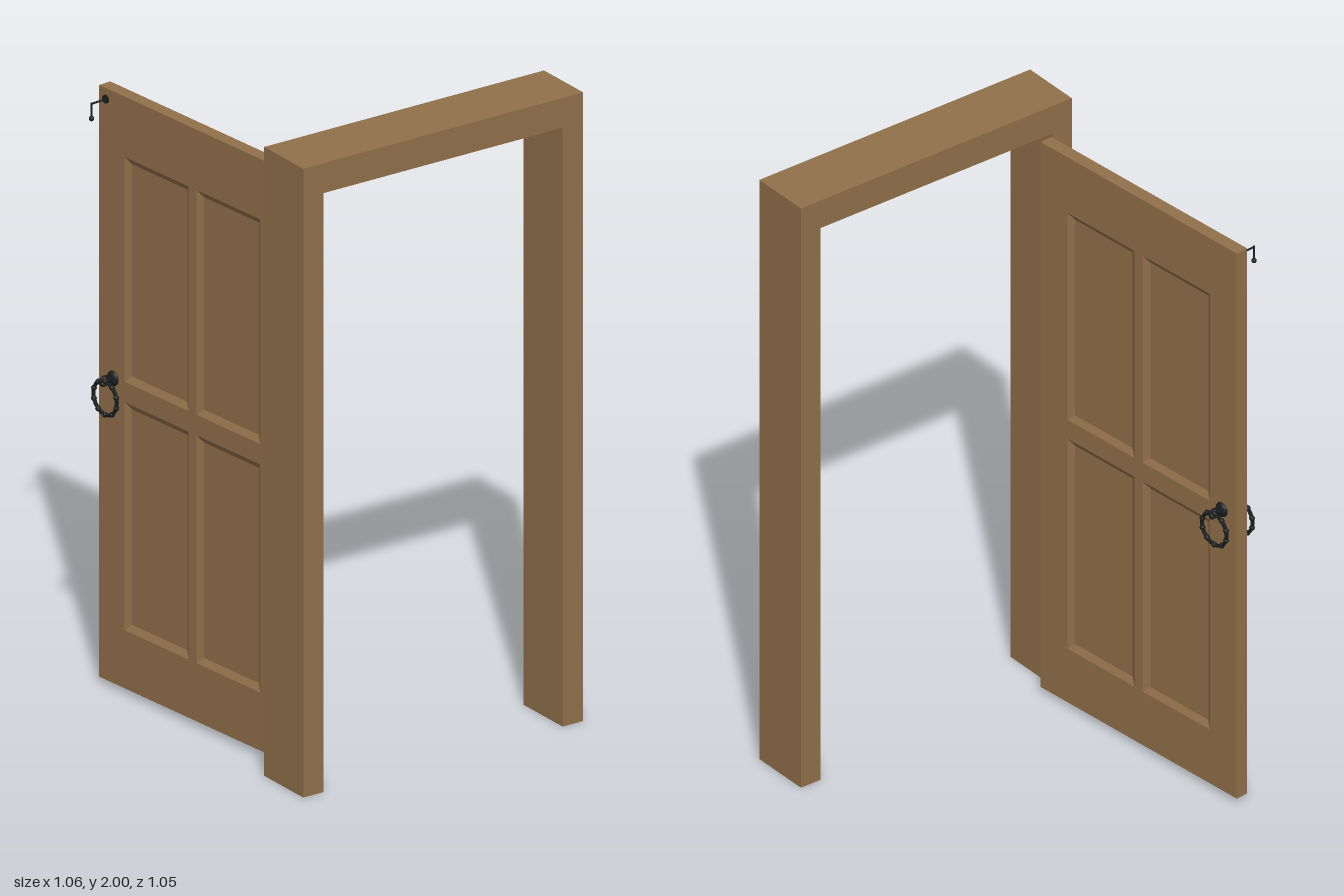
import * as THREE from 'three';

const wood = new THREE.MeshStandardMaterial({ color: 0x91704a });
wood.name = 'wood';
const iron = new THREE.MeshStandardMaterial({ color: 0x1b1d1f });
iron.name = 'blackIron';

function add(parent, name, geometry, material, x = 0, y = 0, z = 0) {
  const mesh = new THREE.Mesh(geometry, material);
  mesh.name = name;
  mesh.position.set(x, y, z);
  parent.add(mesh);
  return mesh;
}

function rectPath(path, x0, y0, x1, y1) {
  path.moveTo(x0, y0);
  path.lineTo(x1, y0);
  path.lineTo(x1, y1);
  path.lineTo(x0, y1);
  path.closePath();
  return path;
}

// Four sloped faces running from a panel opening down to its recessed field
function bevelGeometry([x0, y0, x1, y1], slope, depth) {
  const outer = [[x0, y0], [x1, y0], [x1, y1], [x0, y1]];
  const inner = [
    [x0 + slope, y0 + slope], [x1 - slope, y0 + slope],
    [x1 - slope, y1 - slope], [x0 + slope, y1 - slope],
  ];
  const pos = [];
  for (let i = 0; i < 4; i++) {
    const j = (i + 1) % 4;
    const a = [...outer[i], 0], b = [...outer[j], 0];
    const c = [...inner[j], -depth], d = [...inner[i], -depth];
    pos.push(...a, ...b, ...c, ...a, ...c, ...d);
  }
  const g = new THREE.BufferGeometry();
  g.setAttribute('position', new THREE.Float32BufferAttribute(pos, 3));
  g.computeVertexNormals();
  return g;
}

const W = 0.842, BOTTOM = 0.02, TOP = 1.902, T = 0.042, DEPTH = 0.012;

function createDoor() {
  const door = new THREE.Group();
  door.name = 'door';

  // Stiles and rails around four openings
  const panels = [];
  for (const [x0, x1] of [[0.115, 0.402], [0.438, 0.727]])
    for (const [y0, y1] of [[0.205, 0.93], [0.995, 1.71]]) panels.push([x0, y0, x1, y1]);
  const shape = rectPath(new THREE.Shape(), 0, BOTTOM, W, TOP);
  for (const p of panels) shape.holes.push(rectPath(new THREE.Path(), ...p));
  const slab = new THREE.ExtrudeGeometry(shape, { depth: T, bevelEnabled: false });
  add(door, 'stilesAndRails', slab, wood, 0, 0, -T / 2);

  // Recessed panels with sloped edges on both faces
  for (const p of panels) {
    const [x0, y0, x1, y1] = p;
    const w = x1 - x0, h = y1 - y0;
    add(door, 'panel', new THREE.BoxGeometry(w, h, T - 2 * DEPTH), wood, x0 + w / 2, y0 + h / 2, 0);
    add(door, 'panelBevelInner', bevelGeometry(p, 0.02, DEPTH), wood, 0, 0, T / 2);
    const back = add(door, 'panelBevelOuter', bevelGeometry([-x1, y0, -x0, y1], 0.02, DEPTH), wood, 0, 0, -T / 2);
    back.rotation.y = Math.PI;
  }

  // Ring handle on each face
  for (const side of [1, -1]) {
    const handle = new THREE.Group();
    handle.name = 'ringHandle';
    handle.position.set(0.779, 0.99, side * T / 2);
    if (side < 0) handle.rotation.y = Math.PI;
    door.add(handle);
    const rosette = add(handle, 'rosette', new THREE.SphereGeometry(0.024, 12, 8), iron);
    rosette.scale.z = 0.55;
    const pin = add(handle, 'pin', new THREE.CylinderGeometry(0.005, 0.005, 0.024, 8), iron, 0, 0, 0.012);
    pin.rotation.x = Math.PI / 2;
    const eye = add(handle, 'eye', new THREE.TorusGeometry(0.015, 0.004, 6, 14), iron, 0, 0, 0.034);
    eye.rotation.y = Math.PI / 2;
    add(handle, 'ring', new THREE.TorusGeometry(0.053, 0.006, 6, 20), iron, 0, -0.055, 0.031);
    for (let i = 0; i < 10; i++) {
      const a = (i + 0.5) / 10 * Math.PI * 2;
      add(handle, 'ringBead', new THREE.SphereGeometry(0.0088, 8, 6), iron,
        Math.cos(a) * 0.053, -0.055 + Math.sin(a) * 0.053, 0.031);
    }
  }

  // Small drop hook near the top of the outer face
  const hook = new THREE.Group();
  hook.name = 'hook';
  hook.position.set(0.81, 1.868, -T / 2);
  door.add(hook);
  const plate = add(hook, 'hookPlate', new THREE.CylinderGeometry(0.013, 0.013, 0.006, 12), iron, 0, 0, -0.003);
  plate.rotation.x = Math.PI / 2;
  const arm = add(hook, 'hookArm', new THREE.CylinderGeometry(0.003, 0.003, 0.058, 8), iron, 0, 0, -0.029);
  arm.rotation.x = Math.PI / 2;
  add(hook, 'hookDrop', new THREE.CylinderGeometry(0.003, 0.003, 0.05, 8), iron, 0, -0.022, -0.057);
  add(hook, 'hookBall', new THREE.SphereGeometry(0.008, 10, 8), iron, 0, -0.047, -0.057);

  // Hinge leaves on the door
  for (const y of [0.31, 1.612])
    add(door, 'hingeDoorLeaf', new THREE.BoxGeometry(0.038, 0.066, 0.004), iron, 0.019, y, -T / 2 - 0.002);

  // Swing the door open from its hinge edge
  door.position.set(-0.367, 0, 0.316);
  door.rotation.y = THREE.MathUtils.degToRad(95.4);
  return door;
}

export function createModel() {
  const model = new THREE.Group();
  model.name = 'openDoor';

  // Door frame: two posts and a lintel in one outline
  const outline = new THREE.Shape([
    [-0.47, 0], [-0.397, 0], [-0.397, 1.905], [0.457, 1.905],
    [0.457, 0], [0.53, 0], [0.53, 2], [-0.47, 2],
  ].map(([x, y]) => new THREE.Vector2(x, y)));
  add(model, 'frame', new THREE.ExtrudeGeometry(outline, { depth: 0.2, bevelEnabled: false }), wood, 0, 0, 0.326);

  model.add(createDoor());

  // Hinge leaves and knuckles on the frame
  for (const y of [0.31, 1.612]) {
    add(model, 'hingeFrameLeaf', new THREE.BoxGeometry(0.038, 0.066, 0.004), iron, -0.411, y, 0.324);
    add(model, 'hingeKnuckle', new THREE.CylinderGeometry(0.005, 0.005, 0.07, 10), iron, -0.394, y, 0.32);
  }
  return model;
}
